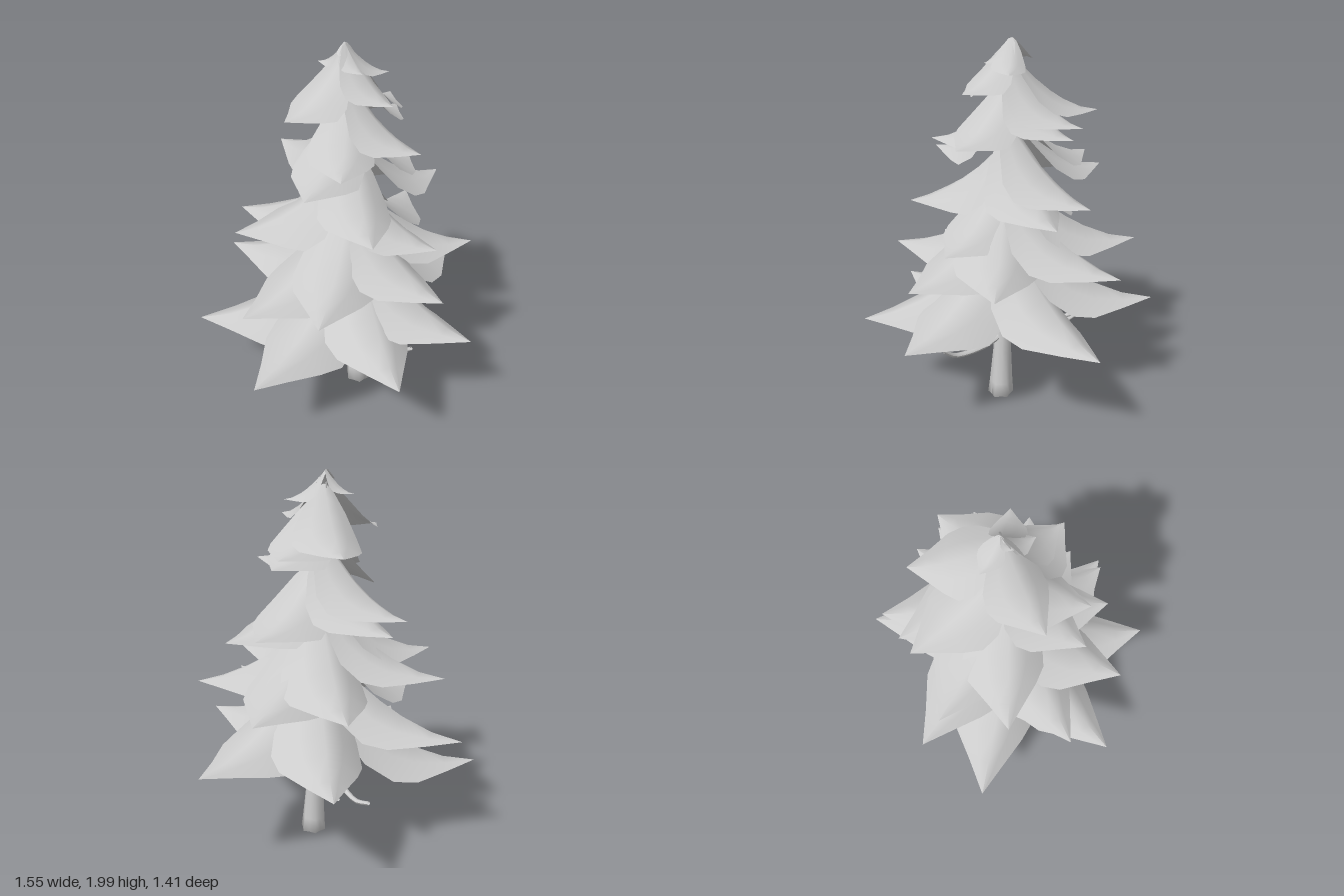
import * as THREE from 'three';

// Trunk axis leans slightly backwards as it rises
const axis = (y) => new THREE.Vector3(0.005 - 0.01 * y, y, 0.02 - 0.042 * y);

// Folded bough along t: flat side width and drop, steep side width and drop (shares of length)
const SECTIONS = [
  [0, 0.06, 0.03, 0.06, 0.06],
  [0.12, 0.18, 0.10, 0.15, 0.18],
  [0.28, 0.28, 0.17, 0.22, 0.30],
  [0.45, 0.31, 0.16, 0.23, 0.27],
  [0.6, 0.27, 0.11, 0.18, 0.17],
  [0.8, 0.13, 0.04, 0.09, 0.06],
  [1, 0, 0, 0, 0],
];

function boughGeometry([x, y, z]) {
  const tip = new THREE.Vector3(x, y, z);
  const root = axis(y);
  const dir = tip.clone().sub(root).setY(0);
  const length = dir.length();
  dir.normalize();
  const side = new THREE.Vector3(dir.z, 0, -dir.x);
  const rise = Math.min(0.1 + 0.42 * length, 1.99 - y);
  // Short upper boughs are broader for their length
  const broad = length * THREE.MathUtils.clamp(1 + 1.05 * (0.85 - length), 1, 1.5);
  const pos = [], index = [];
  SECTIONS.forEach(([t, flatW, flatDrop, steepW, steepDrop], r) => {
    const ridgeY = y + rise * Math.pow(1 - t, 1.8);
    for (let c = -2; c <= 2; c++) {
      const u = c / 2;
      const width = c < 0 ? flatW : steepW;
      const drop = c < 0 ? flatDrop : steepDrop;
      const p = root.clone()
        .addScaledVector(dir, length * t)
        .addScaledVector(side, u * width * broad);
      p.y = ridgeY - drop * length * Math.pow(Math.abs(u), 1.3);
      pos.push(p.x, p.y, p.z);
      if (r > 0 && c < 2) {
        const a = (r - 1) * 5 + c + 2, b = a + 5;
        index.push(a, b, a + 1, a + 1, b, b + 1);
      }
    }
  });
  const g = new THREE.BufferGeometry();
  g.setAttribute('position', new THREE.Float32BufferAttribute(pos, 3));
  g.setIndex(index);
  g.computeVertexNormals();
  return g;
}

// Bough tips by tier, lowest first
const TIERS = [
  [[-0.70, 0.42, -0.53], [-0.78, 0.48, 0.21], [-0.27, 0.55, 0.70], [0.22, 0.59, 0.68],
    [0.77, 0.61, -0.07], [0.44, 0.63, -0.67], [-0.36, 0.70, -0.71]],
  [[-0.70, 0.75, 0.0], [-0.51, 0.84, 0.39], [0.09, 0.84, 0.59], [0.51, 0.92, 0.35],
    [0.61, 0.91, -0.30], [0.32, 0.95, -0.62], [-0.35, 1.0, -0.58]],
  [[-0.55, 1.05, -0.29], [0.18, 1.03, 0.43], [-0.22, 1.19, 0.42], [0.53, 1.21, 0.03],
    [0.50, 1.26, -0.18], [0.03, 1.29, -0.59], [-0.08, 1.34, -0.57]],
  [[-0.42, 1.39, 0.17], [-0.28, 1.48, 0.26], [0.13, 1.53, 0.33], [0.38, 1.57, -0.15],
    [0.38, 1.62, -0.20], [0.19, 1.64, -0.43], [-0.38, 1.70, -0.03]],
  [[0.03, 1.76, 0.24], [0.15, 1.85, 0.06], [-0.08, 1.88, -0.19],
    [-0.03, 1.88, 0.09], [-0.07, 1.94, -0.03]],
];

// Bare dead branches under the foliage
const BRANCHES = [
  [[0, 0.39, 0], [0.03, 0.36, 0.14], [0.05, 0.37, 0.32], [0.07, 0.43, 0.40]],
  [[0, 0.48, -0.03], [0.03, 0.41, -0.22], [0.06, 0.38, -0.40], [0.05, 0.40, -0.48]],
  [[0, 0.54, -0.03], [0.10, 0.47, -0.15], [0.17, 0.49, -0.28], [0.21, 0.52, -0.36]],
  [[0, 0.49, -0.03], [0.03, 0.39, -0.16], [0.06, 0.32, -0.26]],
  [[0, 0.61, -0.02], [0.12, 0.55, -0.18], [0.10, 0.58, -0.36]],
  [[0, 0.62, 0], [0.18, 0.65, -0.03], [0.35, 0.68, -0.02]],
];

function branchGeometry(points) {
  const curve = new THREE.CatmullRomCurve3(points.map((p) => new THREE.Vector3(...p)));
  const rows = 12, sides = 6;
  const g = new THREE.TubeGeometry(curve, rows, 0.021, sides, false);
  // Taper towards the tip
  const pos = g.attributes.position, v = new THREE.Vector3();
  for (let i = 0; i < pos.count; i++) {
    const t = Math.floor(i / (sides + 1)) / rows;
    const c = curve.getPointAt(t);
    v.fromBufferAttribute(pos, i).sub(c).multiplyScalar(1 - 0.5 * t).add(c);
    pos.setXYZ(i, v.x, v.y, v.z);
  }
  g.computeVertexNormals();
  return g;
}

function trunkGeometry() {
  const profile = [[0, 0], [0.066, 0], [0.06, 0.08], [0.05, 0.28], [0.043, 0.5],
    [0.034, 0.9], [0.022, 1.4], [0.004, 1.93]];
  const g = new THREE.LatheGeometry(profile.map((p) => new THREE.Vector2(...p)), 12);
  // Root lobes at the foot and a gentle lean
  const pos = g.attributes.position;
  for (let i = 0; i < pos.count; i++) {
    const x = pos.getX(i), y = pos.getY(i), z = pos.getZ(i);
    const k = 1 + 0.1 * Math.max(0, 1 - y / 0.3) * Math.cos(6 * Math.atan2(z, x));
    const c = axis(y);
    pos.setXYZ(i, x * k + c.x, y, z * k + c.z);
  }
  g.computeVertexNormals();
  return g;
}

export function createModel() {
  const grey = new THREE.MeshStandardMaterial({ color: 0xcccccc, side: THREE.DoubleSide });
  grey.name = 'plainGrey';
  const tree = new THREE.Group();
  tree.name = 'firTree';
  const add = (parent, geometry, name) => {
    const mesh = new THREE.Mesh(geometry, grey);
    mesh.name = name;
    parent.add(mesh);
  };

  add(tree, trunkGeometry(), 'trunk');
  BRANCHES.forEach((b, i) => add(tree, branchGeometry(b), `deadBranch${i + 1}`));

  TIERS.forEach((tips, t) => {
    const tier = new THREE.Group();
    tier.name = `foliageTier${t + 1}`;
    tips.forEach((tip, i) => add(tier, boughGeometry(tip), `bough${i + 1}`));
    tree.add(tier);
  });
  return tree;
}
